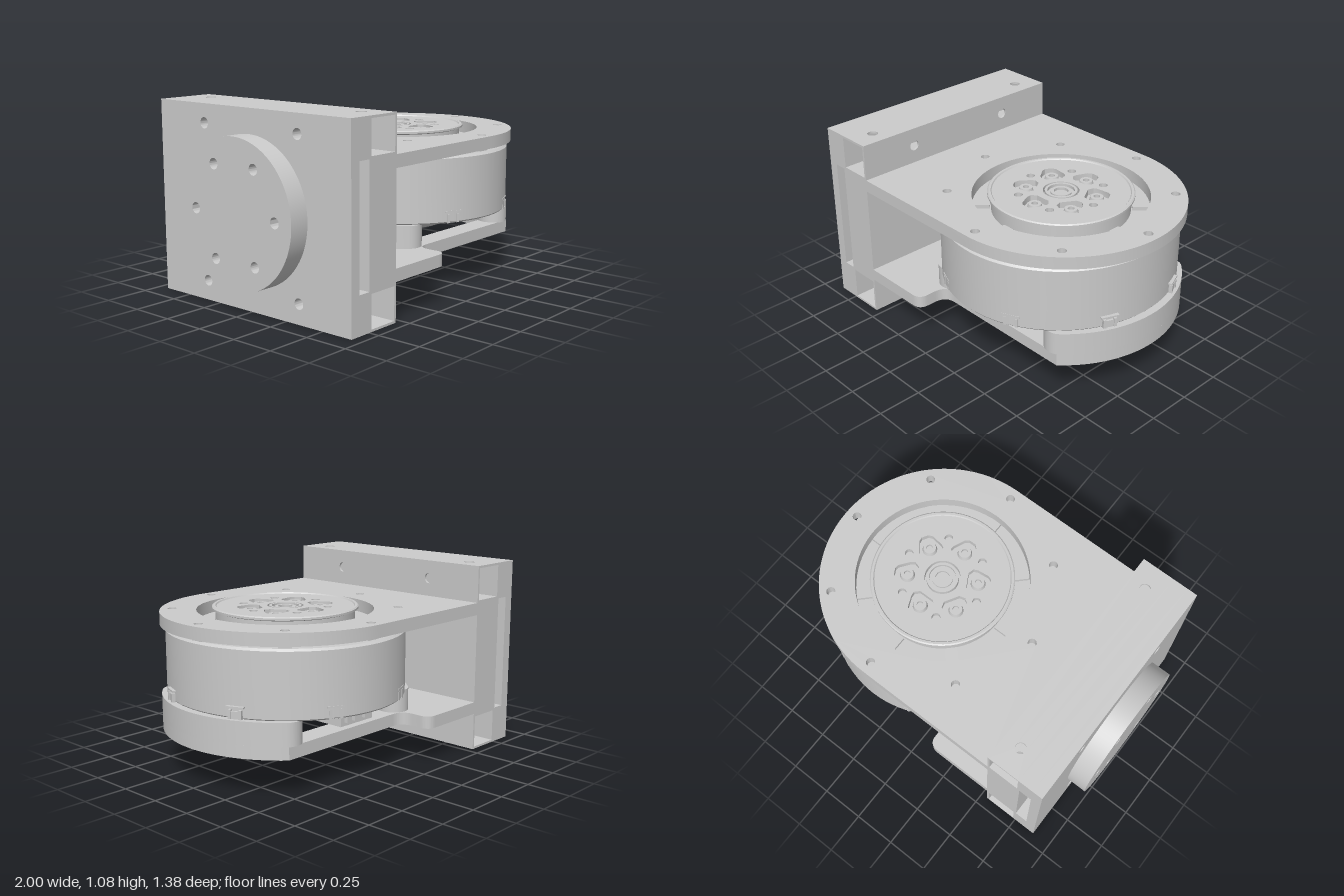
import * as THREE from 'three';
import { toCreasedNormals } from 'three/addons/utils/BufferGeometryUtils.js';

const CX = 0.31;          // motor axis
const R = 0.69;           // rounded end of the plates
const material = new THREE.MeshStandardMaterial({ color: 0xcccccc });

function add(parent, name, geometry, x = 0, y = 0, z = 0) {
  const mesh = new THREE.Mesh(geometry, material);
  mesh.name = name;
  mesh.position.set(x, y, z);
  parent.add(mesh);
  return mesh;
}

function rect(x0, y0, x1, y1) {
  return new THREE.Shape([[x0, y0], [x1, y0], [x1, y1], [x0, y1]].map(p => new THREE.Vector2(...p)));
}

function disc(x, y, r) {
  return new THREE.Shape().absarc(x, y, r, 0, Math.PI * 2, false);
}

// Extrude a shape upwards (axis y) or along +x (axis x, shape drawn in z and y)
function slab(shape, holes, depth, axis = 'y', segments = 24) {
  shape.holes.push(...holes);
  const g = new THREE.ExtrudeGeometry(shape, { depth, bevelEnabled: false, curveSegments: segments });
  if (axis === 'y') g.rotateX(-Math.PI / 2);
  else g.rotateY(Math.PI / 2);
  return toCreasedNormals(g, 0.6);
}

function lathe(points, segments = 64) {
  const g = new THREE.LatheGeometry(points.map(p => new THREE.Vector2(...p)), segments);
  return toCreasedNormals(g, 0.5);
}

function polar(r, angle, x = 0) {
  return [x + r * Math.cos(angle), r * Math.sin(angle)];
}

function ringOfHoles(count, r, radius, x = 0, y = 0, start = 0) {
  return Array.from({ length: count }, (_, i) => {
    const [px, py] = polar(r, start + i * Math.PI * 2 / count);
    return disc(x + px, y + py, radius);
  });
}

// Rectangular end housing with open tubes above and below
function buildHousing(root) {
  const g = new THREE.Group();
  g.name = 'endHousing';
  const boltX = y => [disc(-0.34, y, 0.03), disc(0.34, y, 0.03)];
  const boltY = () => [disc(-0.645, -0.55, 0.03), disc(-0.645, 0.55, 0.03)];
  add(g, 'backWall', slab(rect(-R, 0, R, 1.08), [...boltX(0.11), ...boltX(0.975)], 0.06, 'x'), -0.885);
  for (const [y0, y1, hole] of [[0, 0.21, 0.11], [0.87, 1.08, 0.975]]) {
    add(g, 'wallBlock', slab(rect(-R, y0, R, y1), boltX(hole), 0.09, 'x'), -0.825);
    add(g, 'tubeFace', slab(rect(-R, y0, R, y1), boltX(hole), 0.013, 'x'), -0.553);
    for (const y of [y0, y1 - 0.013])
      add(g, 'tubeWall', slab(rect(-0.735, -R, -0.545, R), boltY(), 0.013), 0, y);
  }
  add(g, 'middleBlock', slab(rect(-0.75, -R, -0.54, R), boltY(), 0.66), 0, 0.21);
  const flange = slab(disc(0, 0, 0.405), ringOfHoles(6, 0.29, 0.03), 0.115, 'x', 48);
  add(g, 'mountingFlange', flange, -1, 0.54);
  root.add(g);
}

function buildPlates(root) {
  // Upper plate with a rounded end and motor opening
  const top = new THREE.Shape();
  top.moveTo(-0.54, -R);
  top.lineTo(CX, -R);
  top.absarc(CX, 0, R, -Math.PI / 2, Math.PI / 2, false);
  top.lineTo(-0.54, R);
  add(root, 'upperPlate', slab(top, [disc(CX, 0, 0.49), ...ringOfHoles(8, 0.625, 0.025, CX)], 0.07, 'y', 40), 0, 0.8);

  // Lower plate, narrowed beside the motor, with a clipped round window
  const a = Math.asin(0.5 / R);
  const low = new THREE.Shape();
  low.moveTo(-0.54, -R);
  low.lineTo(-0.17, -R);
  low.quadraticCurveTo(-0.11, -R, -0.11, -0.63);
  low.lineTo(-0.11, -0.58);
  low.quadraticCurveTo(-0.11, -0.5, -0.03, -0.5);
  low.absarc(CX, 0, R, -a, a, false);
  low.lineTo(-0.03, 0.5);
  low.quadraticCurveTo(-0.11, 0.5, -0.11, 0.58);
  low.lineTo(-0.11, 0.63);
  low.quadraticCurveTo(-0.11, R, -0.17, R);
  low.lineTo(-0.54, R);
  const b = Math.asin(0.37 / 0.54);
  const win = new THREE.Path();
  win.absarc(CX, 0, 0.54, -b, b, false);
  win.absarc(CX, 0, 0.54, Math.PI - b, Math.PI + b, false);
  win.closePath();
  const bolts = [0, 1, 3, 4, 5, 7].map(i => disc(...polar(0.625, i * Math.PI / 4, CX), 0.025));
  add(root, 'lowerPlate', slab(low, [win, ...bolts], 0.07), 0, 0.215);

  // Curved spacers between lower plate and motor, round at the ends
  for (const mid of [0, Math.PI]) {
    const s = new THREE.Shape();
    const e = Math.PI / 4;
    s.absarc(0, 0, R, mid - e, mid + e, false);
    s.absarc(...polar(0.605, mid + e), 0.085, mid + e, mid + e + Math.PI, false);
    s.absarc(0, 0, 0.52, mid + e, mid - e, true);
    s.absarc(...polar(0.605, mid - e), 0.085, mid - e + Math.PI, mid - e + Math.PI * 2, false);
    add(root, 'spacer', slab(s, [], 0.128), CX, 0.284);
  }
}

function buildMotor(root) {
  const g = new THREE.Group();
  g.name = 'motor';
  g.position.x = CX;
  root.add(g);

  const body = add(g, 'motorBody', lathe([[0, 0.41], [0.645, 0.41], [0.652, 0.418],
    [0.652, 0.77], [0.64, 0.782], [0, 0.782]], 96));
  body.scale.z = 1.035;
  add(g, 'bottomCover', lathe([[0, 0.305], [0.3, 0.305], [0.33, 0.33], [0.33, 0.412]]));

  // Tabs under the upper plate and clips around the lower edge
  for (let i = 0; i < 8; i++) {
    const tab = new THREE.Group();
    tab.name = 'topTab';
    tab.rotation.y = i * Math.PI / 4;
    add(tab, 'spoke', new THREE.BoxGeometry(0.25, 0.026, 0.07), 0.515, 0.79);
    g.add(tab);
    const clip = new THREE.Group();
    clip.name = 'edgeClip';
    clip.rotation.y = (i + 0.5) * Math.PI / 4;
    for (const z of [-0.03, 0.03])
      add(clip, 'clipSide', new THREE.BoxGeometry(0.03, 0.05, 0.016), 0.658, 0.436, z);
    add(clip, 'clipCore', new THREE.BoxGeometry(0.02, 0.04, 0.05), 0.658, 0.432);
    add(clip, 'clipRidge', new THREE.BoxGeometry(0.03, 0.008, 0.1), 0.658, 0.475);
    g.add(clip);
  }

  // Cable connector on the back
  add(g, 'connector', new THREE.BoxGeometry(0.25, 0.085, 0.24), 0.01, 0.365, -0.42);
  for (const x of [-0.05, 0.03, 0.09])
    add(g, 'connectorPin', new THREE.BoxGeometry(0.035, 0.045, 0.03), x, 0.365, -0.545);

  // Output disc: stepped hub, pierced face and central rings
  add(g, 'outputHub', lathe([[0.385, 0.78], [0.385, 0.868], [0.405, 0.875], [0.405, 0.886],
    [0.398, 0.892], [0.385, 0.892], [0.38, 0.885], [0.37, 0.885], [0.37, 0.85], [0, 0.85]]));
  const pockets = Array.from({ length: 6 }, (_, i) => {
    const angle = Math.PI / 6 + i * Math.PI / 3;
    const pts = [[0.14, -0.045], [0.165, -0.07], [0.19, -0.068], [0.255, -0.04], [0.27, -0.02],
      [0.27, 0.02], [0.255, 0.04], [0.19, 0.068], [0.165, 0.07], [0.14, 0.045]]
      .map(p => new THREE.Vector2(...p).rotateAround(new THREE.Vector2(), angle));
    const [x, z] = polar(0.2, angle);
    add(g, 'screwBoss', lathe([[0, 0.858], [0.018, 0.858], [0.018, 0.876], [0.036, 0.876], [0.042, 0.85]], 24), x, 0, z);
    return new THREE.Path(pts.concat(pts[0].clone()));
  });
  add(g, 'outputFace', slab(disc(0, 0, 0.375), [disc(0, 0, 0.1), ...pockets, ...ringOfHoles(6, 0.24, 0.024)],
    0.035, 'y', 48), 0, 0.85);
  add(g, 'centreRings', lathe([[0, 0.865], [0.04, 0.865], [0.04, 0.88], [0.058, 0.88], [0.058, 0.868],
    [0.075, 0.868], [0.075, 0.885], [0.09, 0.885], [0.09, 0.85]], 40));
}

export function createModel() {
  const root = new THREE.Group();
  root.name = 'motorBracket';
  buildHousing(root);
  buildPlates(root);
  buildMotor(root);
  // Lathe surfaces are open sheets in places
  material.side = THREE.DoubleSide;
  return root;
}
